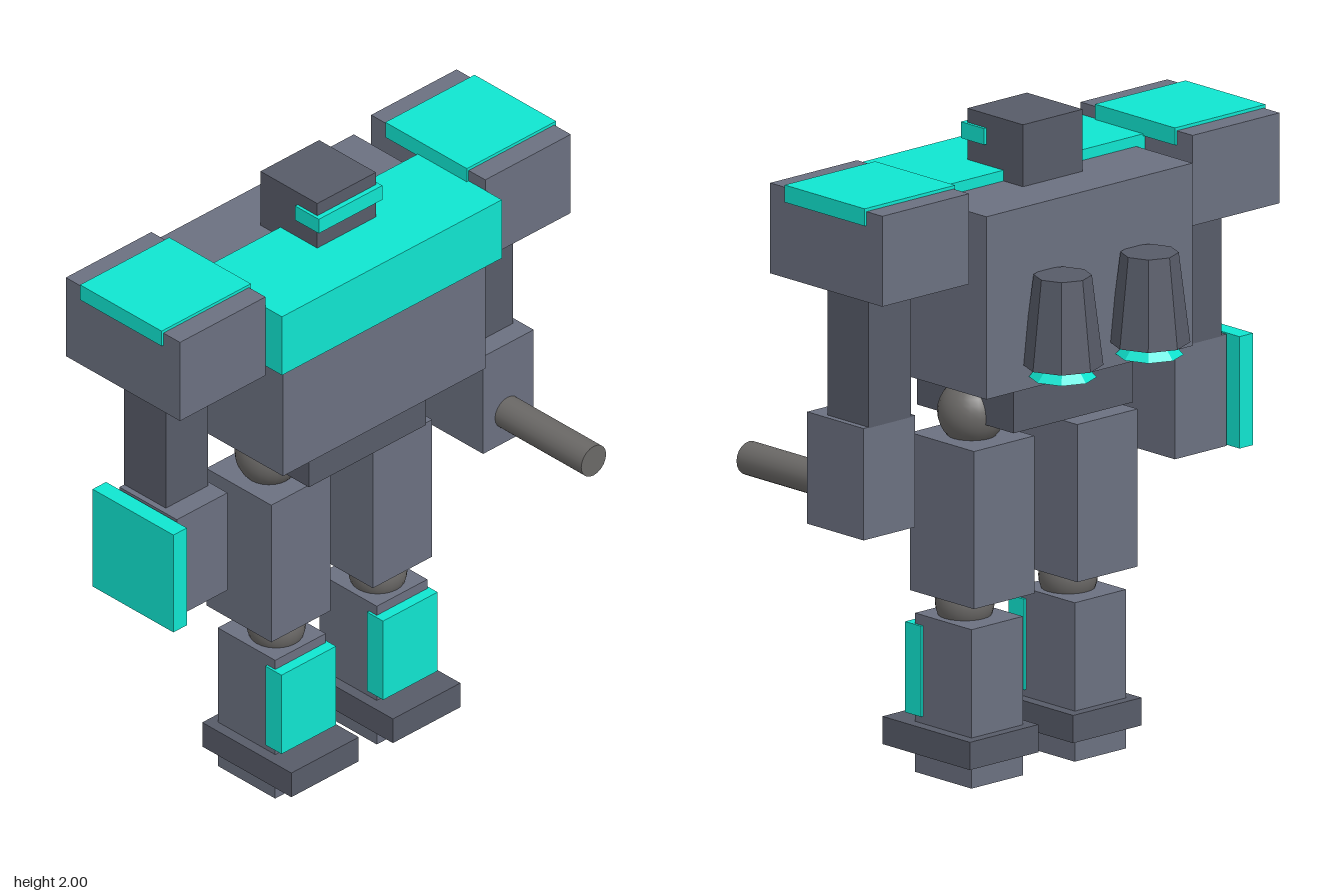
import * as THREE from 'three';

const paint = (color, flatShading = false) => {
  const m = new THREE.MeshStandardMaterial({ flatShading });
  m.color.set(color);
  return m;
};

export function createModel() {
  const armor = paint(0x6b7080);
  const frame = paint(0x575b68);
  const frameFlat = paint(0x575b68, true);
  const joint = paint(0x6a6866);
  const accent = paint(0x10e5d0);
  const accentFlat = paint(0x10e5d0, true);

  const model = new THREE.Group();
  model.name = 'robot';

  const add = (parent, name, geometry, material, x, y, z) => {
    const mesh = new THREE.Mesh(geometry, material);
    mesh.name = name;
    mesh.position.set(x, y, z);
    parent.add(mesh);
    return mesh;
  };

  // Box given by its extents along each axis
  const box = (parent, name, material, [x0, x1], [y0, y1], [z0, z1]) =>
    add(parent, name, new THREE.BoxGeometry(x1 - x0, y1 - y0, z1 - z0), material,
      (x0 + x1) / 2, (y0 + y1) / 2, (z0 + z1) / 2);

  // Box centred on x with a given width
  const boxAt = (parent, name, material, x, width, ys, zs) =>
    box(parent, name, material, [x - width / 2, x + width / 2], ys, zs);

  const group = (name) => {
    const g = new THREE.Group();
    g.name = name;
    model.add(g);
    return g;
  };

  // Trunk and head
  boxAt(model, 'torso', armor, 0, 0.83, [1.25, 1.81], [-0.305, 0.253]);
  boxAt(model, 'chestPlate', accent, 0, 0.9, [1.637, 1.843], [-0.063, 0.285]);
  boxAt(model, 'pelvis', frame, 0, 0.48, [1.097, 1.25], [-0.235, 0.182]);
  boxAt(model, 'head', frame, 0, 0.24, [1.77, 2], [-0.147, 0.093]);
  boxAt(model, 'visor', accent, 0, 0.26, [1.907, 1.957], [0.01, 0.11]);

  for (const [side, s] of [['left', 1], ['right', -1]]) {
    // Arm
    const arm = group(side + 'Arm');
    boxAt(arm, 'shoulder', armor, s * 0.625, 0.35, [1.603, 1.88], [-0.268, 0.215]);
    boxAt(arm, 'shoulderPlate', accent, s * 0.625, 0.365, [1.837, 1.89], [-0.2, 0.145]);
    boxAt(arm, 'upperArm', frame, s * 0.625, 0.172, [1.18, 1.62], [-0.113, 0.063]);
    boxAt(arm, 'forearm', armor, s * 0.627, 0.207, [0.84, 1.183], [-0.113, 0.13]);

    // Leg
    const leg = group(side + 'Leg');
    const x = s * 0.208;
    add(leg, 'hipJoint', new THREE.SphereGeometry(0.102, 24, 16), joint, x, 1.115, -0.02);
    boxAt(leg, 'thigh', armor, x, 0.243, [0.56, 1.043], [-0.16, 0.115]);
    add(leg, 'kneeJoint', new THREE.SphereGeometry(0.088, 24, 16), joint, x, 0.523, 0.01);
    boxAt(leg, 'shin', armor, x, 0.207, [0, 0.487], [-0.13, 0.113]);
    boxAt(leg, 'shinPlate', accent, x, 0.223, [0.177, 0.455], [0.08, 0.148]);
    boxAt(leg, 'foot', frame, x, 0.276, [0.07, 0.155], [-0.16, 0.217]);

    // Thruster with its glowing exhaust
    const thruster = group(side + 'Thruster');
    add(thruster, 'nozzle', new THREE.CylinderGeometry(0.086, 0.12, 0.275, 8), frameFlat,
      s * 0.175, 1.463, -0.377);
    add(thruster, 'exhaust', new THREE.CylinderGeometry(0.052, 0.1, 0.055, 8), accentFlat,
      s * 0.175, 1.315, -0.377);
  }

  // Gun in the left hand, shield outside the right forearm
  const gun = add(model, 'gun', new THREE.CylinderGeometry(0.051, 0.051, 0.42, 20), joint,
    0.623, 0.943, 0.285);
  gun.rotation.x = Math.PI / 2;
  box(model, 'shield', accent, [-0.795, -0.74], [0.84, 1.183], [-0.16, 0.182]);

  return model;
}
